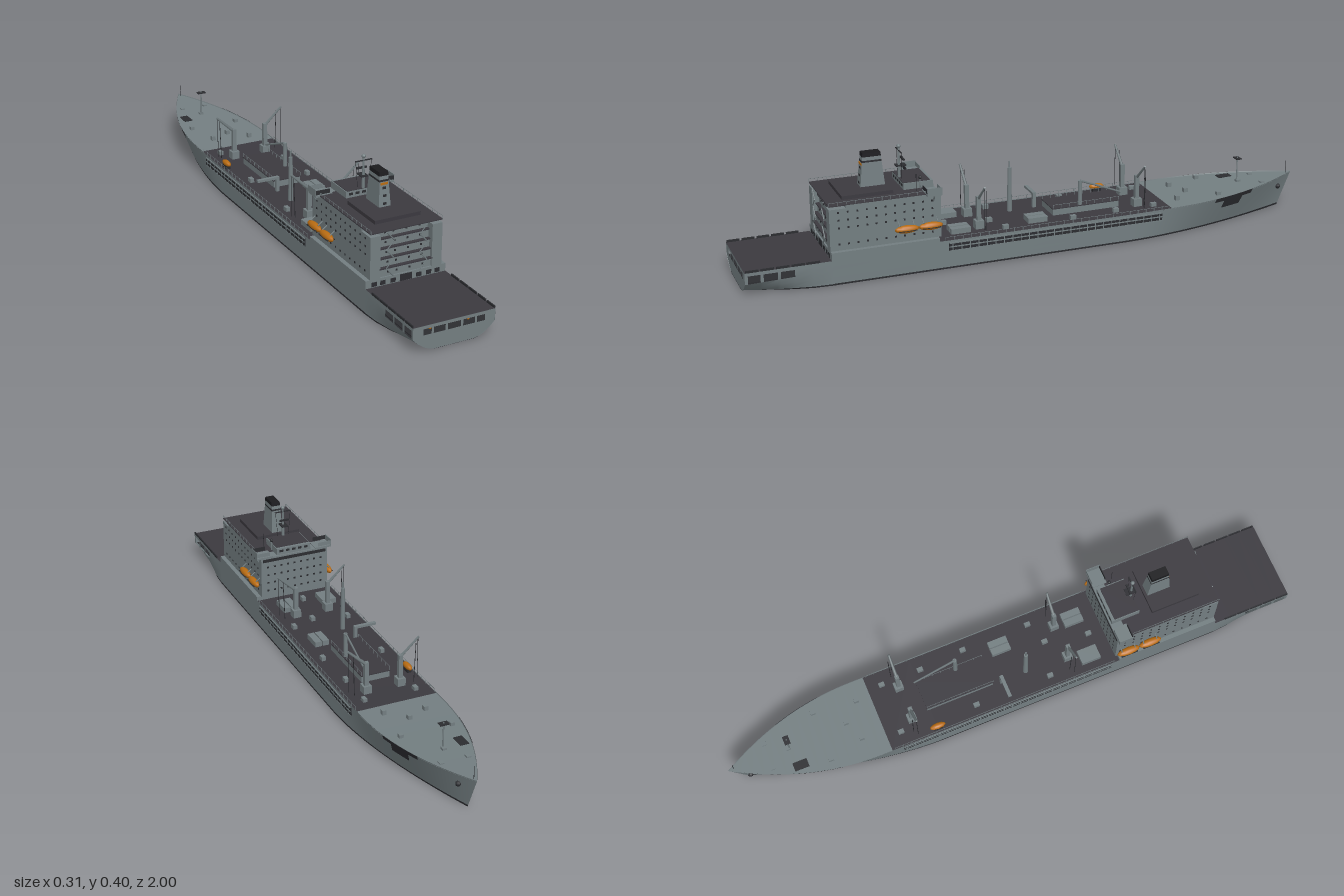
import * as THREE from 'three';
import { toCreasedNormals } from 'three/addons/utils/BufferGeometryUtils.js';

const mat = (name, color, side = THREE.FrontSide) => {
  const m = new THREE.MeshStandardMaterial({ color, side });
  m.name = name;
  return m;
};
const grey = mat('hull grey', 0x737e81, THREE.DoubleSide);
const deckMat = mat('deck grey', 0x3b393f, THREE.DoubleSide);
const dark = mat('dark trim', 0x2b2c30, THREE.DoubleSide);
const black = mat('funnel black', 0x1b1b1e);
const orange = mat('rescue orange', 0xb96c12);
const clamp = (v) => Math.min(1, Math.max(0, v));
const lerp = THREE.MathUtils.lerp;

// hull cross-section rows, from deck edge down to waterline
const ROWS = [1, 0.86, 0.6, 0.35, 0.15, 0.06, 0];
const STERN = [[0.14, 0.084], [0.14, 0.073], [0.139, 0.045], [0.122, 0.028], [0.1, 0.013], [0.085, 0.006], [0.07, 0.002]];
function section(z, out = 0) {
  const u = clamp((-0.3 - z) / 0.7);
  const top = z > 0.72 ? 0.084 : 0.098 + 0.022 * u ** 1.5;
  const s = clamp((z - 0.74) / 0.26) ** 1.5;
  return ROWS.map((f, j) => {
    const wTop = 0.14 * (1 - clamp((u * 0.7 - 0.2) / 0.5) ** 2.1);
    const wLow = 0.14 * (1 - u ** 1.7);
    const zz = u > 0 ? -0.3 - u * (0.65 + 0.05 * f) : z;
    return [lerp(lerp(wLow, wTop, f), STERN[j][0], s) + out, lerp(top * f, STERN[j][1], s), zz];
  });
}

// skin over a grid of points, mirrored when side is -1
function surface(grid, side = 1, skip = () => false) {
  const v = [];
  const put = (p) => v.push(p[0] * side, p[1], p[2]);
  for (let i = 0; i < grid.length - 1; i++) {
    for (let j = 0; j < grid[0].length - 1; j++) {
      if (skip(i, j)) continue;
      const [a, b, c, d] = [grid[i][j], grid[i + 1][j], grid[i + 1][j + 1], grid[i][j + 1]];
      (side > 0 ? [a, b, c, a, c, d] : [a, c, b, a, d, c]).forEach(put);
    }
  }
  const g = new THREE.BufferGeometry();
  g.setAttribute('position', new THREE.Float32BufferAttribute(v, 3));
  g.computeVertexNormals();
  return toCreasedNormals(g, 0.5);
}

export function createModel() {
  const ship = new THREE.Group();
  ship.name = 'supplyShip';
  const add = (name, geo, m, x = 0, y = 0, z = 0) => {
    const o = new THREE.Mesh(geo, m);
    o.name = name;
    o.position.set(x, y, z);
    ship.add(o);
    return o;
  };
  // box given by its base height
  const box = (name, m, w, h, d, x, y, z) => add(name, new THREE.BoxGeometry(w, h, d), m, x, y + h / 2, z);
  const bar = (name, m, a, b, r, r2 = r, sides = 6) => {
    const p = new THREE.Vector3(...a), q = new THREE.Vector3(...b), d = q.clone().sub(p);
    const o = add(name, new THREE.CylinderGeometry(r2, r, d.length(), sides), m, ...p.clone().add(q).multiplyScalar(0.5));
    o.quaternion.setFromUnitVectors(new THREE.Vector3(0, 1, 0), d.normalize());
    return o;
  };
  const rail = (z0, z1, x, y) => {
    bar('deckRail', grey, [x, y + 0.012, z0], [x, y + 0.012, z1], 0.0008, 0.0008, 4);
    const n = Math.round(Math.abs(z1 - z0) / 0.03);
    for (let i = 0; i <= n; i++) box('railPost', grey, 0.0015, 0.012, 0.0015, x, y, lerp(z0, z1, i / n));
  };

  // hull sides, open underneath ahead of the stern, with mooring openings aft
  const zs = [];
  for (let i = 0; i <= 20; i++) zs.push(-1 + i * 0.035);
  zs.push(0.35, 0.72, 0.7201, 0.78, 0.84, 0.885, 0.895, 0.94, 0.95, 0.99, 1);
  const open = [0.84, 0.895, 0.95];
  const grid = zs.map((z) => section(z));
  const aft = zs.filter((z) => z > 0.72);
  for (const s of [1, -1]) {
    add('hullSide', surface(grid, s, (i, j) => j > 4 || (j === 1 && open.includes(zs[i]))), grey);
    add('waterlineBand', surface(grid.map((r) => r.slice(5)), s), dark);
    add('sternBottom', surface(aft.map((z) => { const p = section(z)[6]; return [p, [0, p[1], z]]; }), s), dark);
    add('bowPatch', surface([-0.8, -0.76, -0.72, -0.68, -0.64].map((z) => section(z, 0.0015).slice(0, 3)), s,
      (i, j) => j > 0 && i !== 1 && i !== 2), dark);
    add('anchor', new THREE.SphereGeometry(0.009, 8, 6), dark, s * 0.027, 0.08, -0.936);
    // side gallery along the cargo deck
    box('sideGallery', dark, 0.013, 0.028, 0.76, s * 0.1365, 0.061, -0.05);
    for (const y of [0.06, 0.074, 0.087]) box('galleryRail', grey, 0.003, 0.004, 0.76, s * 0.1425, y, -0.05);
    for (let i = 0; i < 26; i++) box('galleryPost', grey, 0.002, 0.03, 0.003, s * 0.1425, 0.06, -0.42 + i * 0.0295);
    rail(-0.46, 0.34, s * 0.138, 0.097);
    for (let i = 0; i < 5; i++) box('flightNet', dark, 0.004, 0.007, 0.042, s * 0.139, 0.084, 0.78 + i * 0.049);
  }

  // transom with openings
  const outline = [...STERN, ...STERN.slice().reverse().map(([x, y]) => [-x, y])];
  const transom = new THREE.Shape(outline.map((p) => new THREE.Vector2(...p)));
  for (const [a, b] of [[-0.105, -0.077], [-0.07, -0.03], [-0.022, 0.022], [0.03, 0.07], [0.077, 0.105]]) {
    transom.holes.push(new THREE.Path([[a, 0.053], [a, 0.073], [b, 0.073], [b, 0.053]].map((p) => new THREE.Vector2(...p))));
  }
  add('transom', new THREE.ShapeGeometry(transom), grey, 0, 0, 0.999);
  box('mooringDeck', dark, 0.262, 0.003, 0.24, 0, 0.044, 0.875);
  for (const x of [-0.065, 0.065]) add('mooringBuoy', new THREE.SphereGeometry(0.005, 8, 6), orange, x, 0.056, 0.97);

  // decks
  const deck = (name, m, list, drop) => add(name, surface(list.map((z) => {
    const [x, y, zz] = section(z)[0];
    return [[-x, y - drop, zz], [x, y - drop, zz]];
  })), m);
  deck('foredeck', grey, [...zs.filter((z) => z < -0.475), -0.47], 0.003);
  deck('cargoDeck', deckMat, [-0.47, -0.3, 0.35, 0.72], 0.003);
  deck('flightDeck', deckMat, aft, 0);

  // superstructure with terraced aft end
  box('houseBase', grey, 0.28, 0.026, 0.36, 0, 0.084, 0.54);
  box('house', grey, 0.25, 0.15, 0.315, 0, 0.11, 0.5075);
  for (const s of [1, -1]) {
    box('houseSideWall', grey, 0.035, 0.14, 0.055, s * 0.1075, 0.11, 0.6925);
    for (const y of [0.128, 0.183, 0.209, 0.235]) for (let i = 0; i < 11; i++) {
      box('sideWindow', dark, 0.002, 0.006, 0.006, s * 0.1255, y, 0.38 + i * 0.031);
    }
    // bridge wing with bulwark and bracket
    box('bridgeWing', grey, 0.06, 0.006, 0.05, s * 0.11, 0.257, 0.375);
    box('wingBulwark', grey, 0.002, 0.022, 0.05, s * 0.14, 0.262, 0.375);
    for (const z of [0.351, 0.399]) box('wingScreen', z < 0.36 ? grey : dark, 0.05, 0.014, 0.002, s * 0.116, 0.266, z);
    bar('wingBracket', grey, [s * 0.123, 0.235, 0.375], [s * 0.138, 0.258, 0.375], 0.003);
    // lifeboats and davits
    for (const z of [0.39, 0.47]) {
      const hull = add('lifeboat', new THREE.SphereGeometry(1, 12, 8), orange, s * 0.139, 0.157, z);
      hull.scale.set(0.0135, 0.013, 0.041);
      box('lifeboatRim', dark, 0.027, 0.002, 0.06, s * 0.139, 0.153, z);
      for (const d of [-0.024, 0.024]) bar('davit', grey, [s * 0.124, 0.18, z + d], [s * 0.14, 0.168, z + d], 0.002);
    }
    rail(0.4, 0.72, s * 0.124, 0.26);
  }
  [0.11, 0.14, 0.17, 0.2, 0.23].forEach((y, i) => {
    const d = 0.05 - i * 0.006;
    box('terrace', grey, 0.18, 0.026, d, 0, y, 0.665 + d / 2);
    box('terraceDeck', deckMat, 0.184, 0.004, d + 0.006, 0, y + 0.026, 0.665 + (d + 0.006) / 2);
    for (const x of [-0.06, -0.03, 0.015, 0.06]) box('aftWindow', dark, 0.006, 0.006, 0.002, x, y + 0.011, 0.6655 + d);
    for (const s of [1, -1]) bar('stair', grey, [s * (0.045 + (i % 2) * 0.025), y, 0.723], [s * (0.07 - (i % 2) * 0.025), y + 0.028, 0.723], 0.002, 0.002, 4);
  });
  box('houseRoof', deckMat, 0.25, 0.003, 0.33, 0, 0.259, 0.555);
  box('hangarDoor', dark, 0.042, 0.022, 0.002, 0, 0.085, 0.7205);
  for (const x of [-0.11, -0.08, -0.045, 0.045, 0.08, 0.11]) box('aftDoor', dark, 0.018, 0.014, 0.002, x, 0.087, 0.7205);
  for (const y of [0.13, 0.16, 0.19, 0.22]) for (let i = -4; i <= 4; i++) {
    box('forwardWindow', dark, 0.007, 0.006, 0.002, i * 0.025, y, 0.3495);
  }
  box('bridgeWindows', dark, 0.236, 0.011, 0.002, 0, 0.243, 0.3495);
  box('bridgeTop', grey, 0.126, 0.024, 0.1, 0, 0.26, 0.405);
  box('bridgeTopDeck', deckMat, 0.12, 0.002, 0.09, 0, 0.2835, 0.41);
  for (let i = -2; i <= 2; i++) box('bridgeTopWindow', dark, 0.014, 0.008, 0.128 - 0.026, i * 0.023, 0.27, 0.405);
  box('roofHouse', deckMat, 0.16, 0.012, 0.17, 0, 0.262, 0.58);

  // funnel: tapered tower with dark cap and orange band
  const tower = (name, m, y0, y1, grow = 0) => {
    const g = new THREE.BoxGeometry(1, 1, 1), p = g.attributes.position;
    for (let i = 0; i < p.count; i++) {
      const y = p.getY(i) > 0 ? y1 : y0, t = (y - 0.26) / 0.12;
      p.setXYZ(i, p.getX(i) * (lerp(0.042, 0.03, t) + grow), y, 0.545 + p.getZ(i) * (lerp(0.085, 0.06, t) + grow));
    }
    g.computeVertexNormals();
    add(name, g, m);
  };
  tower('funnel', grey, 0.26, 0.376);
  tower('funnelCap', black, 0.372, 0.385, 0.001);
  tower('funnelCollar', dark, 0.354, 0.36, 0.001);
  for (const y of [0.28, 0.305, 0.33]) box('funnelVent', dark, 0.012, 0.008, 0.004, 0, y, 0.584 - (y - 0.28) * 0.1);
  box('funnelBand', orange, 0.026, 0.007, 0.003, 0, 0.344, 0.579);

  // radar mast and aerials
  bar('radarMast', grey, [0, 0.26, 0.45], [0, 0.388, 0.45], 0.006, 0.003);
  add('radome', new THREE.SphereGeometry(0.007, 10, 8), grey, 0, 0.391, 0.45);
  box('mastYard', dark, 0.06, 0.003, 0.004, 0, 0.375, 0.45);
  box('radarScanner', dark, 0.035, 0.006, 0.006, 0, 0.345, 0.438);
  box('mastPlatform', dark, 0.025, 0.003, 0.035, 0, 0.325, 0.445);
  for (const s of [1, -1]) bar('mastStay', dark, [s * 0.02, 0.285, 0.45], [s * 0.028, 0.375, 0.45], 0.0007, 0.0007, 4);
  bar('whipAerial', dark, [0.087, 0.26, 0.42], [0.087, 0.32, 0.42], 0.001, 0.001, 4);
  bar('dishPost', grey, [0.065, 0.26, 0.4], [0.065, 0.298, 0.4], 0.002);
  add('dish', new THREE.SphereGeometry(0.006, 8, 6), dark, 0.065, 0.299, 0.4);

  // replenishment posts with booms rising outboard
  for (const z of [0.2, -0.37]) for (const s of [1, -1]) {
    box('kingpost', grey, 0.014, 0.11, 0.014, s * 0.06, 0.095, z);
    box('kingpostBase', grey, 0.028, 0.028, 0.03, s * 0.06, 0.095, z);
    bar('boom', grey, [s * 0.058, 0.195, z], [s * 0.125, 0.257, z], 0.006, 0.004, 4);
    bar('hoistWire', dark, [s * 0.122, 0.11, z], [s * 0.122, 0.255, z], 0.001, 0.001, 4);
    bar('hoseGuide', dark, [s * 0.105, 0.1, z - 0.01], [s * 0.11, 0.24, z - 0.01], 0.0012, 0.0012, 4);
  }
  bar('centrePost', grey, [-0.05, 0.095, 0.05], [-0.05, 0.25, 0.05], 0.009, 0.007, 8);
  bar('centrePostTop', grey, [-0.05, 0.25, 0.05], [-0.05, 0.273, 0.05], 0.003);
  box('transferArm', grey, 0.08, 0.008, 0.012, -0.09, 0.14, -0.04);
  box('transferPost', grey, 0.012, 0.05, 0.012, -0.055, 0.095, -0.04);
  bar('cranePost', grey, [0.04, 0.095, -0.17], [0.04, 0.205, -0.17], 0.008, 0.007, 8);
  bar('craneJib', grey, [0.04, 0.205, -0.17], [0.04, 0.145, -0.32], 0.004, 0.003, 4);

  // cargo deck houses and hatches
  box('deckHouse', grey, 0.1, 0.022, 0.24, -0.003, 0.095, -0.19);
  box('deckHouseRoof', deckMat, 0.104, 0.003, 0.244, -0.003, 0.117, -0.19);
  rail(-0.31, -0.07, -0.053, 0.12);
  rail(-0.31, -0.07, 0.047, 0.12);
  for (const [x, z, w] of [[-0.083, 0.27, 0.05], [0.05, 0.27, 0.023], [0.077, 0.27, 0.023], [0.05, 0, 0.023], [0.077, 0, 0.023]]) {
    box('cargoHatch', grey, w, 0.018, 0.068, x, 0.095, z);
  }
  const boat = add('workBoat', new THREE.SphereGeometry(1, 10, 6), orange, -0.122, 0.113, -0.3);
  boat.scale.set(0.011, 0.01, 0.028);
  box('boatCradle', dark, 0.014, 0.012, 0.03, -0.122, 0.095, -0.3);
  for (const [x, z] of [[-0.09, -0.42], [0.09, -0.42], [0.09, -0.28], [-0.1, -0.15], [0.1, -0.12], [-0.1, 0.12], [0.1, 0.12], [0.02, 0.15], [-0.01, 0.3]]) {
    box('deckLocker', grey, 0.014, 0.014, 0.02, x, 0.095, z);
  }

  // foredeck fittings and bow masts
  for (const [x, z] of [[0.01, -0.58], [0, -0.79], [-0.09, -0.67], [0.085, -0.67], [0.045, -0.86], [-0.045, -0.86], [-0.06, -0.55], [0.07, -0.52]]) {
    box('foredeckFitting', grey, 0.014, 0.016, 0.016, x, 0.099, z);
  }
  box('deckPatch', dark, 0.03, 0.003, 0.05, -0.07, 0.106, -0.77);
  bar('foremast', grey, [0, 0.1, -0.785], [0, 0.2, -0.785], 0.003, 0.002);
  box('foremastPlatform', dark, 0.03, 0.003, 0.02, 0, 0.193, -0.785);
  bar('jackstaff', dark, [0, 0.115, -0.98], [0, 0.16, -0.98], 0.001, 0.001, 4);
  return ship;
}
